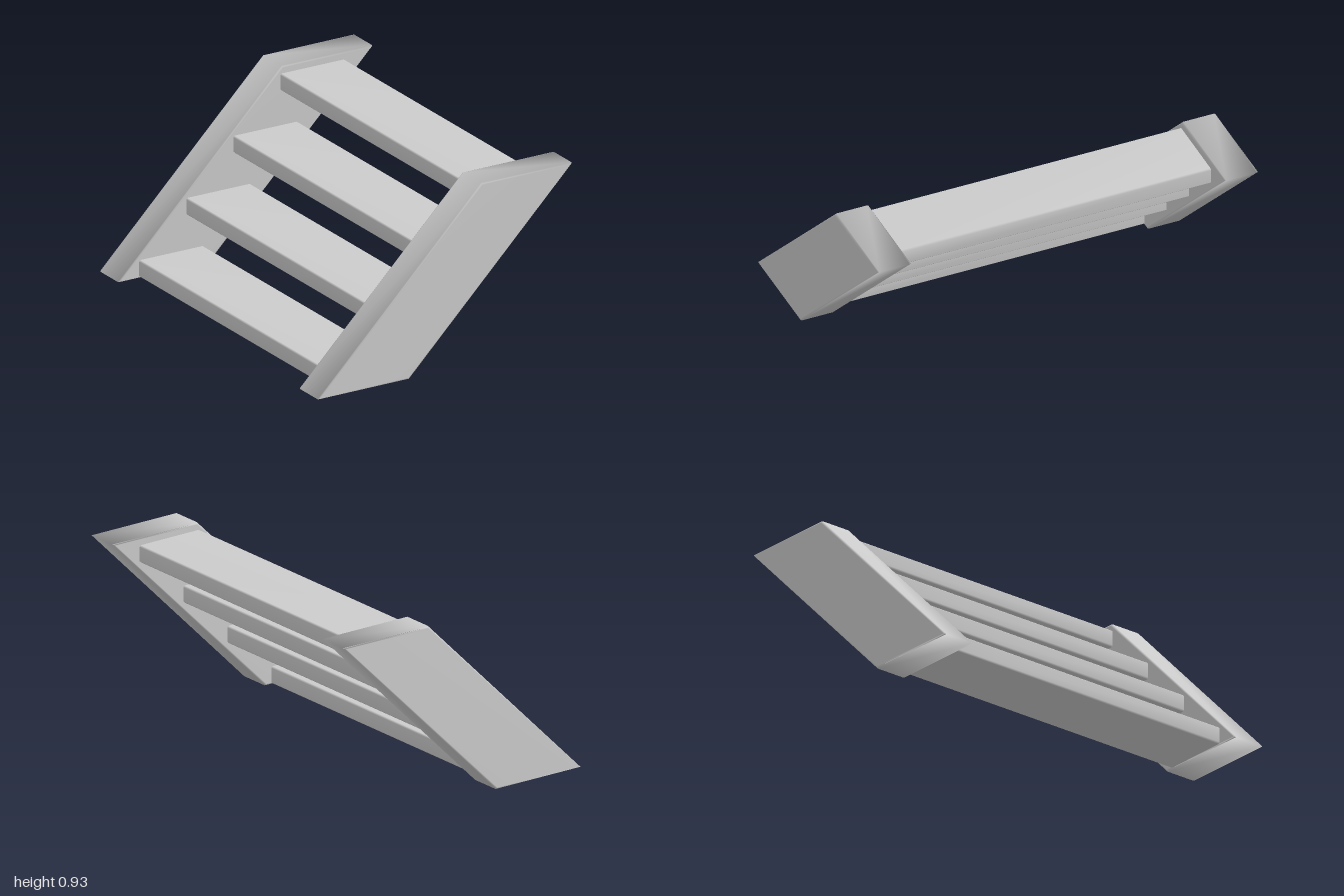
import * as THREE from 'three';
import { mergeVertices } from 'three/addons/utils/BufferGeometryUtils.js';

const material = new THREE.MeshStandardMaterial({ color: 0xcccccc });

// Extrude an outline along z, centred, with its edges shaded softly
function softExtrude(points, length, bevel) {
  const shape = new THREE.Shape(points.map(([x, y]) => new THREE.Vector2(x, y)));
  const geometry = new THREE.ExtrudeGeometry(shape, {
    depth: length - 2 * bevel,
    bevelEnabled: bevel > 0,
    bevelThickness: bevel,
    bevelSize: bevel,
    bevelOffset: -bevel,
    bevelSegments: 2,
  });
  geometry.translate(0, 0, -length / 2 + bevel);
  geometry.deleteAttribute('uv');
  geometry.deleteAttribute('normal');
  const merged = mergeVertices(geometry, 1e-4);
  merged.computeVertexNormals();
  return merged;
}

export function createModel() {
  const group = new THREE.Group();
  group.name = 'openStaircase';

  const add = (name, geometry, x, y, z) => {
    const mesh = new THREE.Mesh(geometry, material);
    mesh.name = name;
    mesh.position.set(x, y, z);
    group.add(mesh);
  };

  // Sloping side boards, level at the top and foot
  const board = softExtrude(
    [[-0.718, 0], [-0.205, 0], [0.718, 0.927], [0.205, 0.927]], 0.18, 0.01);
  add('frontStringer', board, 0, 0, 0.91);
  add('backStringer', board, 0, 0, -0.91);

  // Four treads with eased long edges, let into the side boards
  const w = 0.183, h = 0.044, c = 0.008;
  const tread = softExtrude([
    [-w + c, -h], [w - c, -h], [w, -h + c], [w, h - c],
    [w - c, h], [-w + c, h], [-w, h - c], [-w, -h + c],
  ], 1.68, 0);
  for (let i = 0; i < 4; i++) {
    add(`tread${i + 1}`, tread, -0.421 + i * 0.266, 0.048 + i * 0.266, 0);
  }

  return group;
}
